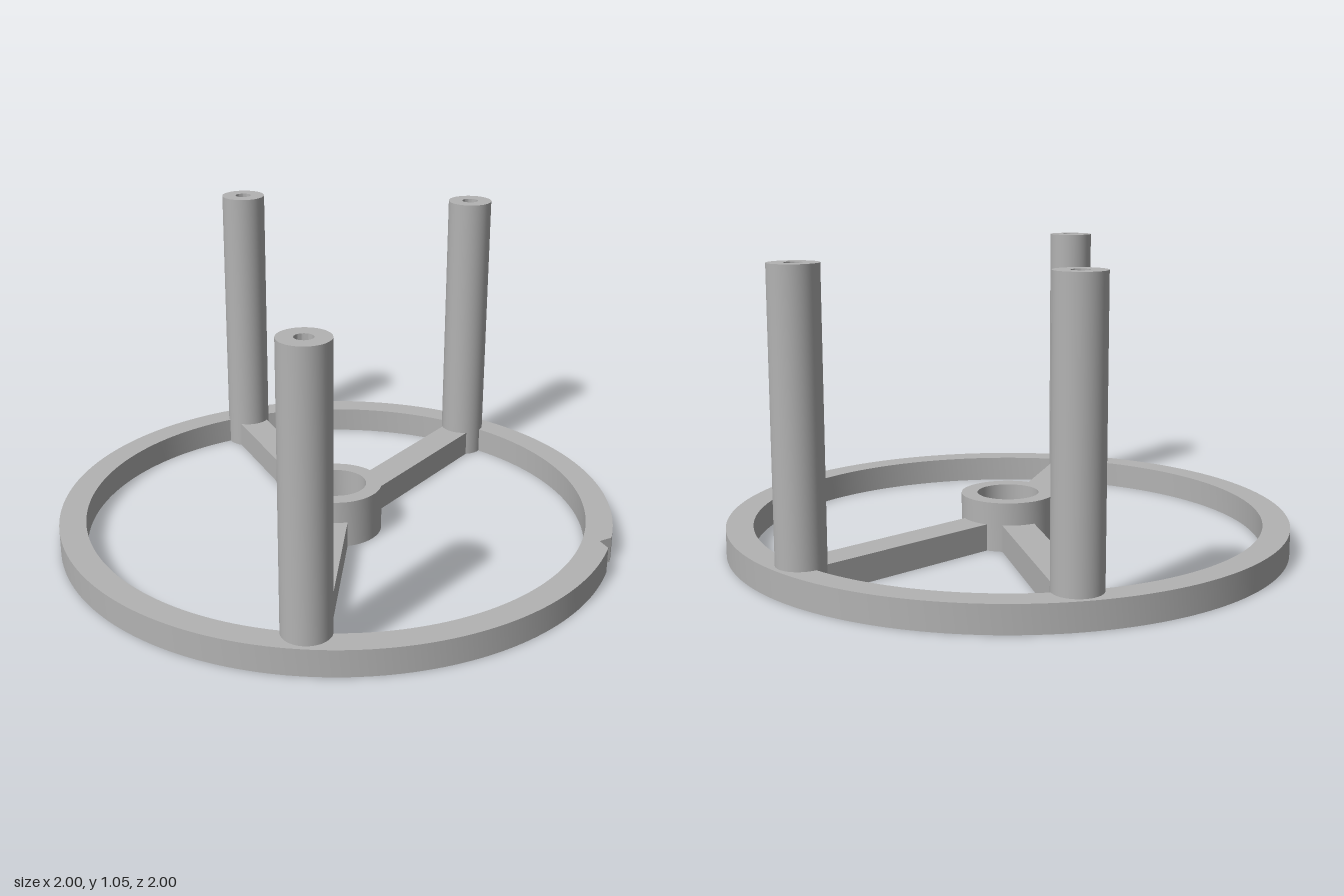
import * as THREE from 'three';
import { toCreasedNormals } from 'three/addons/utils/BufferGeometryUtils.js';

const BASE_H = 0.095, HUB_H = 0.175, POST_H = 1.05, POST_RADIUS_POS = 0.9;

export function createModel() {
  const model = new THREE.Group();
  model.name = 'threePostWheel';
  const grey = new THREE.MeshStandardMaterial({ color: 0xb3b3b3 });
  grey.name = 'grey';

  const add = (parent, name, geometry) => {
    const mesh = new THREE.Mesh(geometry, grey);
    mesh.name = name;
    parent.add(mesh);
    return mesh;
  };
  // Revolved solid with crisp rims; profile runs up the outside first
  const turned = (profile, segments) => toCreasedNormals(
    new THREE.LatheGeometry(profile.map(([r, y]) => new THREE.Vector2(r, y)), segments), 0.5);

  // Outer ring with a V-shaped notch cut into its +x edge
  const outline = new THREE.Shape();
  outline.absarc(0, 0, 1, 0.08, Math.PI * 2, false);
  outline.lineTo(0.963, 0.04);
  outline.closePath();
  const opening = new THREE.Path();
  opening.absarc(0, 0, 0.905, 0, Math.PI * 2, true);
  outline.holes.push(opening);
  const ring = new THREE.ExtrudeGeometry(outline, { depth: BASE_H, bevelEnabled: false, curveSegments: 96 });
  ring.rotateX(-Math.PI / 2);
  add(model, 'ring', toCreasedNormals(ring, 0.5));

  // Hollow hub
  add(model, 'hub', turned(
    [[0.167, 0], [0.167, HUB_H], [0.11, HUB_H], [0.11, 0], [0.167, 0]], 64));

  // Spokes, each carrying a post with a blind screw hole in its top
  const post = turned(
    [[0, 0], [0.083, 0], [0.083, POST_H], [0.03, POST_H], [0.03, POST_H - 0.25], [0, POST_H - 0.25]], 48);
  const start = 0.14, end = 0.93;
  const spoke = new THREE.BoxGeometry(end - start, BASE_H, 0.115);
  spoke.translate((start + end) / 2, BASE_H / 2, 0);
  for (const degrees of [75, 135, -75]) {
    const arm = new THREE.Group();
    arm.name = 'arm';
    arm.rotation.y = THREE.MathUtils.degToRad(degrees);
    add(arm, 'spoke', spoke);
    add(arm, 'post', post).position.x = POST_RADIUS_POS;
    model.add(arm);
  }
  return model;
}
